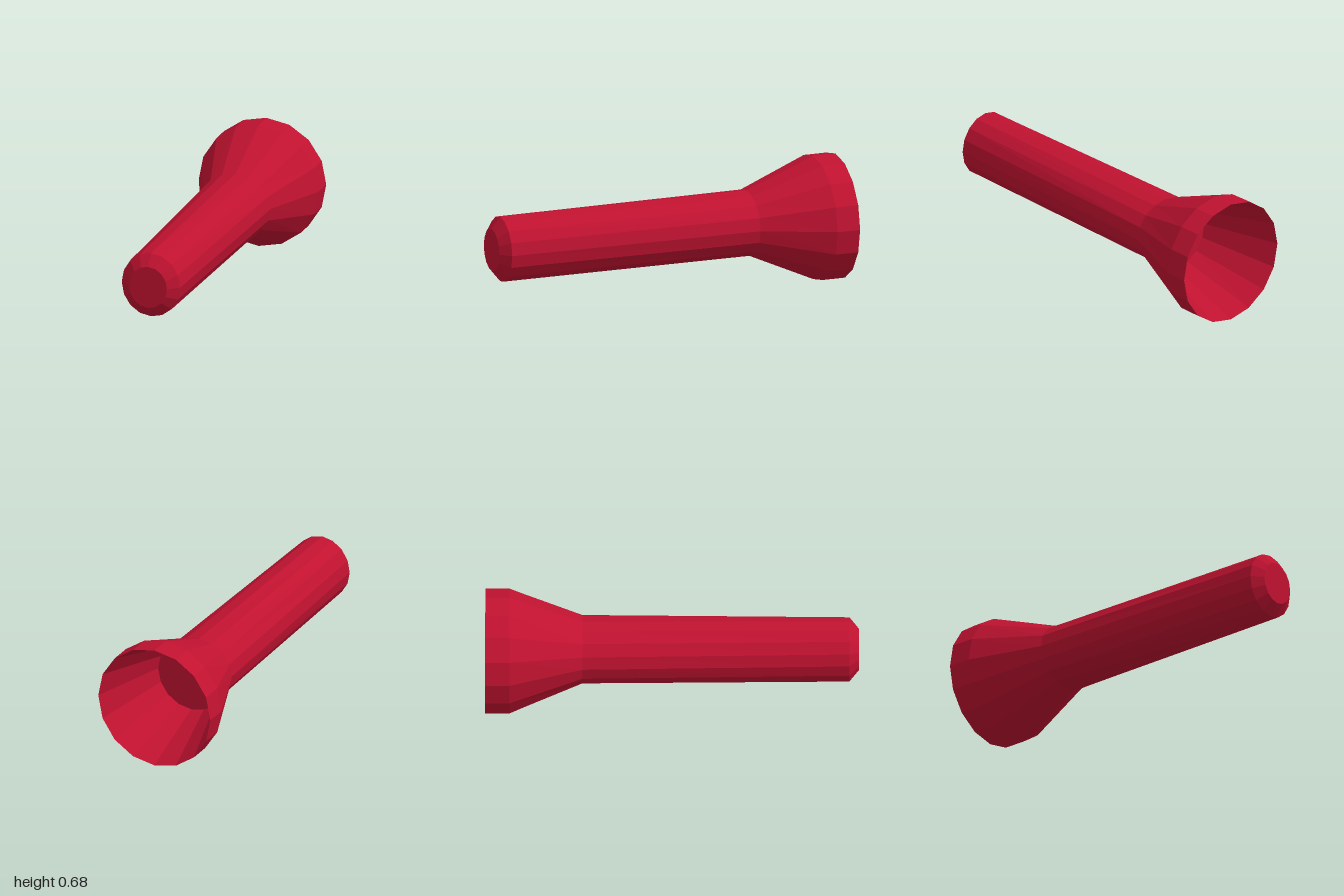
import * as THREE from 'three';

const SIDES = 16;

// Skins a run of elliptical rings [z, centreY, radiusX, radiusY]; zero radii close an end.
function loft(rings) {
  const point = ([z, cy, rx, ry], k) => {
    const t = ((k % SIDES) / SIDES) * Math.PI * 2;
    return [rx * Math.cos(t), cy + ry * Math.sin(t), z];
  };
  const positions = [];
  for (let i = 0; i < rings.length - 1; i++) {
    const [near, far] = [rings[i], rings[i + 1]];
    for (let k = 0; k < SIDES; k++) {
      const a = point(near, k), b = point(near, k + 1);
      const c = point(far, k), d = point(far, k + 1);
      if (near[2] > 0) positions.push(...a, ...c, ...b);
      if (far[2] > 0) positions.push(...b, ...c, ...d);
    }
  }
  const geometry = new THREE.BufferGeometry();
  geometry.setAttribute('position', new THREE.Float32BufferAttribute(positions, 3));
  geometry.computeVertexNormals();
  return geometry;
}

export function createModel() {
  const group = new THREE.Group();
  group.name = 'flashlight';
  const red = new THREE.MeshStandardMaterial({ color: 0xc01230, flatShading: true });

  const add = (name, rings) => {
    const mesh = new THREE.Mesh(loft(rings), red);
    mesh.name = name;
    group.add(mesh);
  };

  const neck = [-0.48, 0.353, 0.2, 0.178];
  const rim = [-1, 0.341, 0.338, 0.341];

  // Tapered grip with a bevelled, closed end
  add('handle', [
    [1, 0.353, 0, 0],
    [1, 0.353, 0.107, 0.116],
    [0.95, 0.353, 0.165, 0.178],
    neck,
  ]);

  // Flared head ending in a straight collar
  add('head', [neck, [-0.87, 0.341, 0.338, 0.341], rim]);

  // Hollow cone running from the rim in to a flat floor
  add('reflector', [rim, [-0.57, 0.35, 0.2, 0.2], [-0.57, 0.35, 0, 0]]);

  return group;
}
